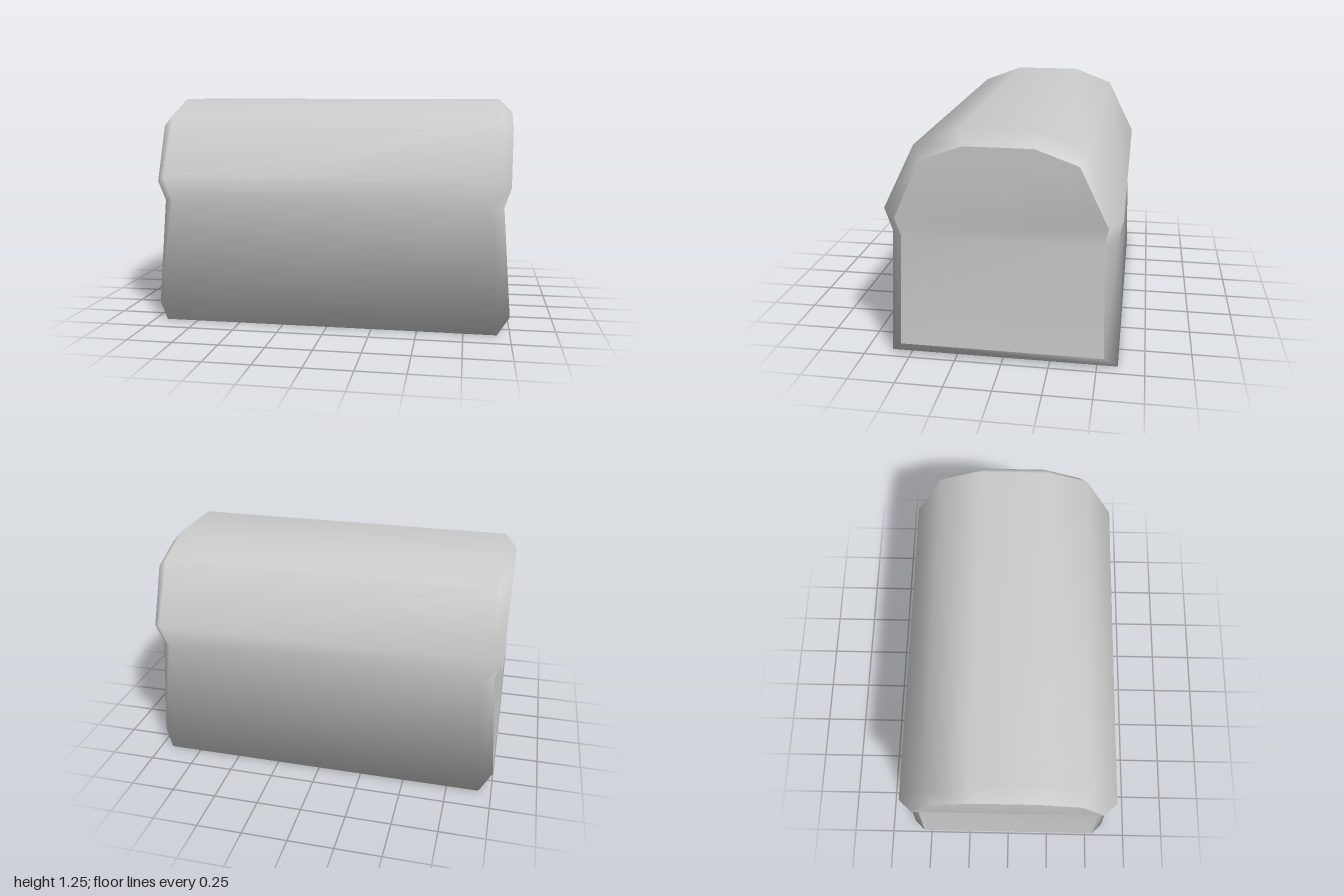
import * as THREE from 'three';

// Half profiles as [x, y, z] from bottom to top: body edge and inset end panel
const OUTER = [[0.93, 0, 0.61], [0.89, 0.685, 0.585], [0.93, 0.82, 0.61], [0.93, 1.16, 0.44], [0.93, 1.25, 0.2]];
const INNER = [[1, 0.08, 0.54], [0.955, 0.68, 0.52], [0.99, 0.79, 0.54], [0.998, 1.1, 0.395], [1, 1.18, 0.175]];

// Full arch: up the front, over the top and down the back
function arch(half, side) {
  const front = half.map(([x, y, z]) => [side * x, y, z]);
  const back = half.map(([x, y, z]) => [side * x, y, -z]).reverse();
  return [...front, ...back];
}

function smoothMesh(name, points, index) {
  const geometry = new THREE.BufferGeometry();
  geometry.setAttribute('position', new THREE.Float32BufferAttribute(points.flat(), 3));
  geometry.setIndex(index);
  geometry.computeVertexNormals();
  const mesh = new THREE.Mesh(geometry, new THREE.MeshStandardMaterial({ color: 0xcccccc }));
  mesh.name = name;
  return mesh;
}

export function createModel() {
  const group = new THREE.Group();
  group.name = 'chest';

  // Body: four arches joined along x, with bevelled ends and a closed base
  const rings = [arch(INNER, -1), arch(OUTER, -1), arch(OUTER, 1), arch(INNER, 1)];
  const n = rings[0].length;
  const index = [];
  for (let i = 0; i < rings.length - 1; i++) {
    for (let j = 0; j < n; j++) {
      const a = i * n + j, b = i * n + (j + 1) % n;
      const c = b + n, d = a + n;
      index.push(a, d, c, a, c, b);
    }
  }
  group.add(smoothMesh('chestBody', rings.flat(), index));

  // End panels: rows spanning front to back, pinched in at the waist
  for (const side of [1, -1]) {
    const panel = [];
    for (let k = 0; k < n / 2 - 1; k++) {
      const a = k, b = n - 1 - k, c = b - 1, d = k + 1;
      if (side > 0) panel.push(a, b, c, a, c, d);
      else panel.push(a, c, b, a, d, c);
    }
    group.add(smoothMesh(side > 0 ? 'leftEndPanel' : 'rightEndPanel', arch(INNER, side), panel));
  }
  return group;
}
